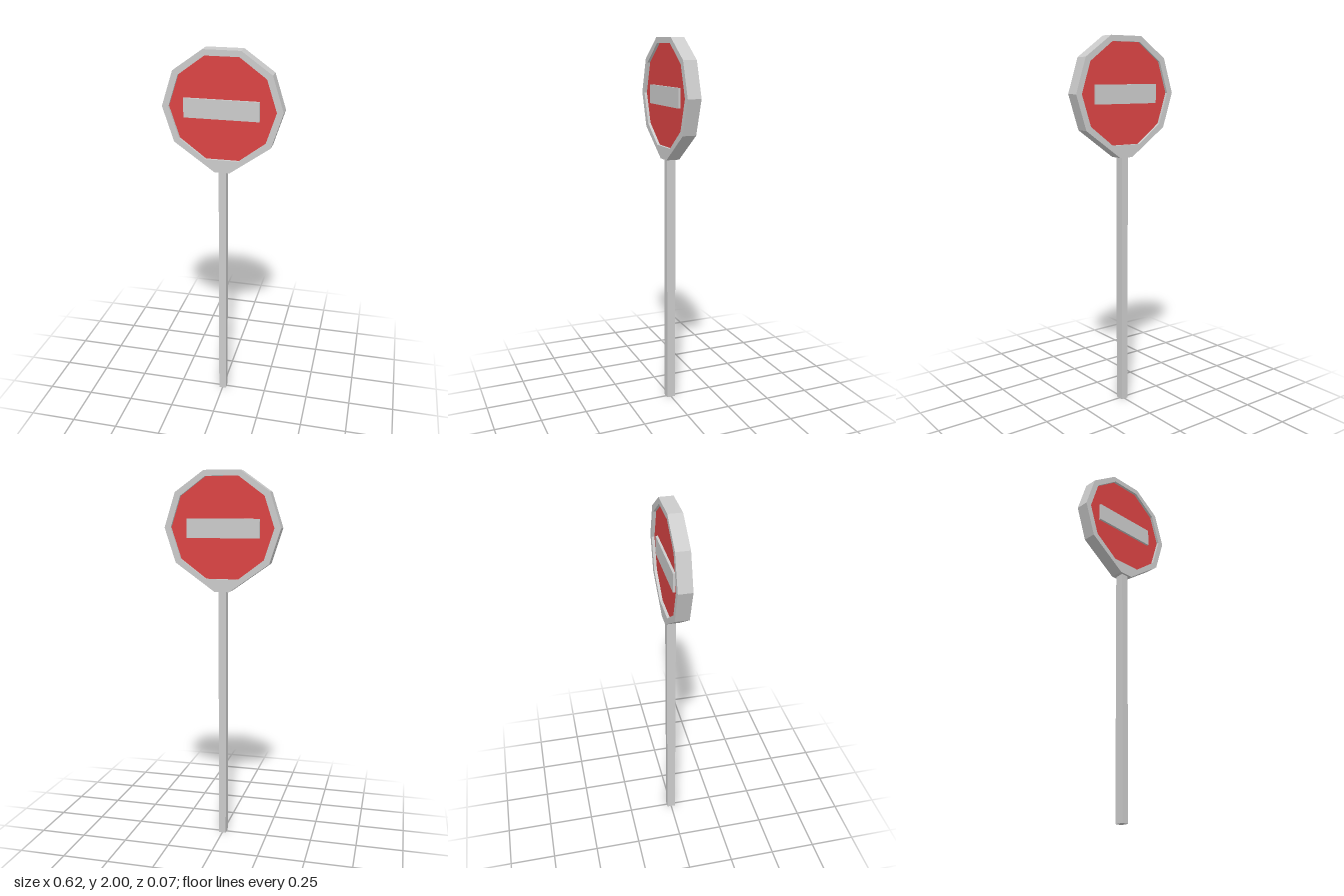
import * as THREE from 'three';

const grey = new THREE.MeshStandardMaterial({ color: 0xcccccc, flatShading: true });
const red = new THREE.MeshStandardMaterial({ color: 0xdb4444, flatShading: true });

// Closed outline mirrored across x = 0, from right-hand points listed bottom to top
function mirrored(half) {
  const left = half.map(([x, y]) => [-x, y]).reverse();
  return [...half, ...left].map(([x, y]) => new THREE.Vector2(x, y));
}

// Plate of the given thickness, centred on z = 0
function plate(shape, depth) {
  return new THREE.ExtrudeGeometry(shape, { depth, bevelEnabled: false }).translate(0, 0, -depth / 2);
}

function createModel() {
  const group = new THREE.Group();
  const add = (name, geometry, material) => {
    const mesh = new THREE.Mesh(geometry, material);
    mesh.name = name;
    group.add(mesh);
  };

  // Ten-sided rim, drawn down to meet the pole
  const outer = mirrored([[0.04, 1.375], [0.252, 1.525], [0.311, 1.708], [0.252, 1.89], [0.096, 2]]);
  const inner = mirrored([[0.087, 1.442], [0.224, 1.545], [0.277, 1.708], [0.224, 1.87], [0.087, 1.97]]);
  const rim = new THREE.Shape(outer);
  rim.holes.push(new THREE.Path(inner));
  add('signRim', plate(rim, 0.073), grey);

  // Recessed red panel, visible on both sides
  add('signPanel', plate(new THREE.Shape(inner), 0.044), red);

  // Horizontal bar raised from both faces of the panel
  add('signBar', new THREE.BoxGeometry(0.39, 0.1, 0.068).translate(-0.005, 1.705, 0), grey);

  // Square pole
  add('pole', new THREE.BoxGeometry(0.04, 1.4, 0.048).translate(0, 0.7, 0), grey);

  return group;
}

export { createModel };
